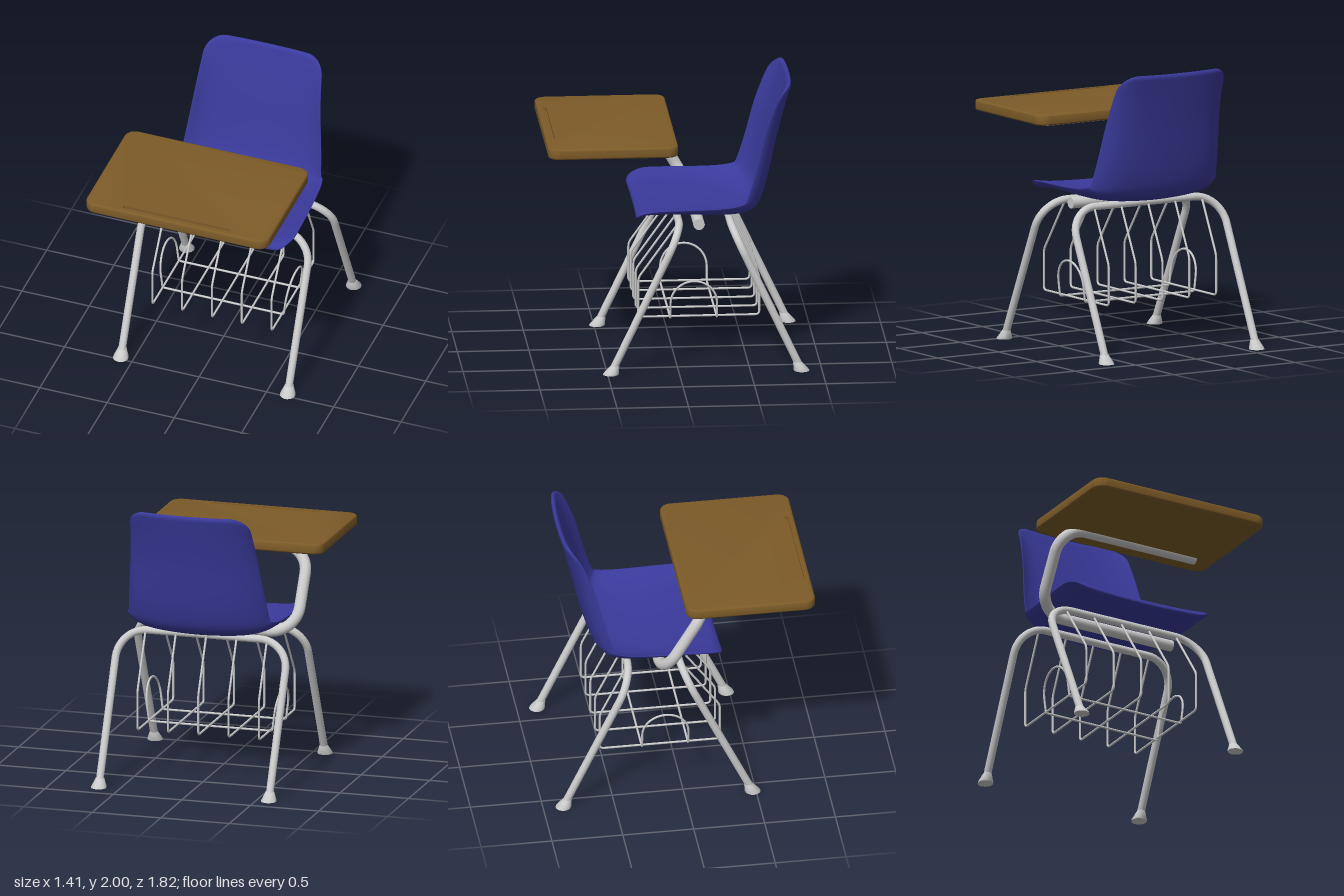
import * as THREE from 'three';
import { toCreasedNormals } from 'three/addons/utils/BufferGeometryUtils.js';

const metal = new THREE.MeshStandardMaterial({ color: 0xcccccc });
const plastic = new THREE.MeshStandardMaterial({ color: 0x3a3a9c });
const wood = new THREE.MeshStandardMaterial({ color: 0x7d5b28 });
const CX = 0.03; // the seat and frame sit slightly off centre

const V = (x, y, z) => new THREE.Vector3(x, y, z);

function mesh(name, geometry, material) {
  const m = new THREE.Mesh(geometry, material);
  m.name = name;
  return m;
}

// Path of straight runs joined by rounded corners of the given radius
function bentPath(points, radius, closed = false) {
  const path = new THREE.CurvePath();
  const n = points.length;
  const toward = (a, b, d) => a.clone().add(b.clone().sub(a).setLength(d));
  const corners = points.map((p, i) => {
    if (!closed && (i === 0 || i === n - 1)) return [p, p];
    return [toward(p, points[(i + n - 1) % n], radius), toward(p, points[(i + 1) % n], radius)];
  });
  for (let i = 0; i < (closed ? n : n - 1); i++) {
    const j = (i + 1) % n;
    path.add(new THREE.LineCurve3(corners[i][1], corners[j][0]));
    if (closed || j < n - 1) {
      const [a, b] = corners[j];
      path.add(new THREE.CubicBezierCurve3(a, a.clone().lerp(points[j], 0.55), b.clone().lerp(points[j], 0.55), b));
    }
  }
  return path;
}

// Round rod along a path, with flat end caps where the path is open
function rod(name, path, r, segments, sides = 16, closed = false) {
  const group = new THREE.Group();
  group.name = name;
  group.add(mesh(name + 'Tube', new THREE.TubeGeometry(path, segments, r, sides, closed), metal));
  if (!closed) {
    for (const t of [0, 1]) {
      const cap = mesh(name + 'End', new THREE.CircleGeometry(r, sides), metal);
      const dir = path.getTangent(t).multiplyScalar(t ? 1 : -1);
      cap.position.copy(path.getPoint(t));
      cap.quaternion.setFromUnitVectors(V(0, 0, 1), dir);
      group.add(cap);
    }
  }
  return group;
}

// Moulded shell: a cross-section with raised sides swept along the seat profile
function seatShell() {
  // z, y, half width, lift of the side edges
  const rows = [
    [0.278, 1.07, 0.55, 0.035], [0.23, 1.1, 0.56, 0.04], [0.12, 1.1, 0.565, 0.055],
    [-0.08, 1.087, 0.56, 0.07], [-0.28, 1.07, 0.55, 0.09], [-0.43, 1.068, 0.54, 0.105],
    [-0.53, 1.09, 0.525, 0.115], [-0.59, 1.15, 0.515, 0.12], [-0.63, 1.26, 0.505, 0.12],
    [-0.665, 1.4, 0.49, 0.115], [-0.715, 1.62, 0.465, 0.11], [-0.765, 1.82, 0.445, 0.09],
    [-0.812, 1.995, 0.43, 0.055],
  ];
  const line = new THREE.SplineCurve(rows.map(r => new THREE.Vector2(r[0], r[1])));
  const shape = new THREE.SplineCurve(rows.map(r => new THREE.Vector2(r[2], r[3])));
  const N = 72, M = 36, cornerR = 0.13, half = 0.017;
  const ts = Array.from({ length: N + 1 }, (_, k) => (1 - Math.cos(Math.PI * k / N)) / 2);
  const pts = ts.map(t => line.getPoint(t));
  const run = [0];
  for (let k = 1; k <= N; k++) run.push(run[k - 1] + pts[k].distanceTo(pts[k - 1]));

  const position = [], index = [];
  const loop = 2 * M;
  for (let k = 0; k <= N; k++) {
    const s = Math.min(run[k], run[N] - run[k]);
    const tan = line.getTangent(ts[k]);
    const { x: w, y: lift } = shape.getPoint(ts[k]);
    const c = Math.max(0, cornerR - s);
    const width = w - cornerR + Math.sqrt(cornerR * cornerR - c * c);
    const endTaper = Math.sqrt(Math.min(1, s / 0.02));
    for (let j = 0; j < loop; j++) {
      const top = j < M;
      const a = top ? -1 + 2 * j / M : 1 - 2 * (j - M) / M;
      const u = Math.sin(a * Math.PI / 2);
      const across = Math.abs(u * width / w);
      const thick = half * endTaper * Math.sqrt(Math.max(0, 1 - u ** 14));
      const d = lift * (0.45 * across ** 2 + 0.55 * across ** 7) + (top ? thick : -thick);
      position.push(CX + u * width, pts[k].y - tan.x * d, pts[k].x + tan.y * d);
      if (k < N) {
        const p = k * loop + j, q = k * loop + (j + 1) % loop;
        index.push(p, q, p + loop, q, q + loop, p + loop);
      }
    }
  }
  const g = new THREE.BufferGeometry();
  g.setAttribute('position', new THREE.Float32BufferAttribute(position, 3));
  g.setIndex(index);
  g.computeVertexNormals();
  return mesh('seatShell', g, plastic);
}

// Writing board with rounded edges and a pencil groove
function desk() {
  const group = new THREE.Group();
  group.name = 'desk';
  const b = 0.015, w = 0.68 - b, h = 0.455 - b, r = 0.065;
  const outline = new THREE.Shape();
  outline.absarc(w - r, h - r, r, 0, Math.PI / 2);
  outline.absarc(-w + r, h - r, r, Math.PI / 2, Math.PI);
  outline.absarc(-w + r, -h + r, r, Math.PI, Math.PI * 1.5);
  outline.absarc(w - r, -h + r, r, Math.PI * 1.5, Math.PI * 2);
  const gx = -0.005, gy = -0.402, hx = 0.395, hy = 0.0125;
  const hole = new THREE.Path();
  hole.moveTo(gx - hx, gy - 0.03).lineTo(gx - hx, gy + 0.03);
  hole.lineTo(gx + hx, gy + 0.03).lineTo(gx + hx, gy - 0.03).closePath();
  outline.holes.push(hole);
  const g = new THREE.ExtrudeGeometry(outline, {
    depth: 0.075 - 2 * b, bevelThickness: b, bevelSize: b, bevelSegments: 4, curveSegments: 8,
  });
  // Straighten the groove walls so that only the outer edge is rounded
  const p = g.attributes.position;
  for (let i = 0; i < p.count; i++) {
    const x = p.getX(i) - gx, y = p.getY(i) - gy;
    if (Math.abs(x) < hx + 0.01 && Math.abs(y) < 0.032) {
      p.setXY(i, gx + Math.sign(x) * hx, gy + Math.sign(y) * hy);
    }
  }
  g.rotateX(-Math.PI / 2).translate(-0.03, 1.56 + b, 0.455);
  group.add(mesh('deskTop', toCreasedNormals(g, 0.6), wood));
  const floor = mesh('pencilGrooveFloor', new THREE.BoxGeometry(2 * hx, 0.055, 2 * hy), wood);
  floor.position.set(-0.03 + gx, 1.5875, 0.455 - gy);
  group.add(floor);
  return group;
}

// Pair of legs made of one bent tube, with flared feet
function legFrame(name, topY, topZ, footZ) {
  const group = new THREE.Group();
  group.name = name;
  const half = 0.62, slope = (topZ - footZ) / topY;
  const at = (side, y) => V(CX + side * half, y, footZ + slope * y);
  const path = bentPath([at(-1, 0.03), at(-1, topY), at(1, topY), at(1, 0.03)], 0.21);
  group.add(rod(name + 'Bar', path, 0.027, 120));
  for (const side of [-1, 1]) {
    const profile = [[0, 0], [0.054, 0], [0.054, 0.008], [0.036, 0.05], [0.03, 0.064], [0, 0.064]];
    const g = new THREE.LatheGeometry(profile.map(q => new THREE.Vector2(...q)), 24);
    const p = g.attributes.position;
    for (let i = 0; i < p.count; i++) p.setZ(i, p.getZ(i) + slope * p.getY(i));
    const foot = mesh('foot', toCreasedNormals(g, 0.5), metal);
    foot.position.set(CX + side * half, 0, footZ);
    group.add(foot);
  }
  return group;
}

// Wire book basket hung between the two leg frames
function basket() {
  const group = new THREE.Group();
  group.name = 'bookBasket';
  for (let i = 0; i < 5; i++) {
    const x = -0.432 + i * 0.2215;
    const points = [[1.03, -0.01], [0.64, 0.27], [0.357, 0.27], [0.357, -0.577], [0.64, -0.577], [1.03, -0.385]];
    const path = bentPath(points.map(([y, z]) => V(x, y, z)), 0.025);
    group.add(rod('basketWire', path, 0.008, 140, 8));
  }
  // Closed loop: two cross wires that rise into an arch at each side
  const z0 = -0.117, r = 0.163, loop = [];
  for (const side of [-1, 1]) {
    const x = y => 0.012 + side * (0.45 + (y - 0.345) * 0.12);
    loop.push(V(x(0.345), 0.345, z0 + side * r));
    for (let k = 0; k <= 16; k++) {
      const a = Math.PI * k / 16, y = 0.455 + r * Math.sin(a);
      loop.push(V(x(y), y, z0 + side * r * Math.cos(a)));
    }
    loop.push(V(x(0.345), 0.345, z0 - side * r));
  }
  group.add(rod('basketArches', bentPath(loop, 0.012, true), 0.008, 300, 8, true));
  return group;
}

export function createModel() {
  const model = new THREE.Group();
  model.name = 'schoolChairDesk';
  model.add(seatShell(), desk(), basket());
  model.add(legFrame('frontLegs', 1.035, -0.015, 0.478));
  model.add(legFrame('backLegs', 1.03, -0.375, -0.858));
  // Bent arm from under the seat up to the desk
  const arm = [V(0.5, 1.03, -0.152), V(-0.57, 1.03, -0.152), V(-0.57, 1.57, 0.168), V(0.5, 1.57, 0.168)];
  model.add(rod('deskArm', bentPath(arm, 0.19), 0.04, 120, 20));
  return model;
}
